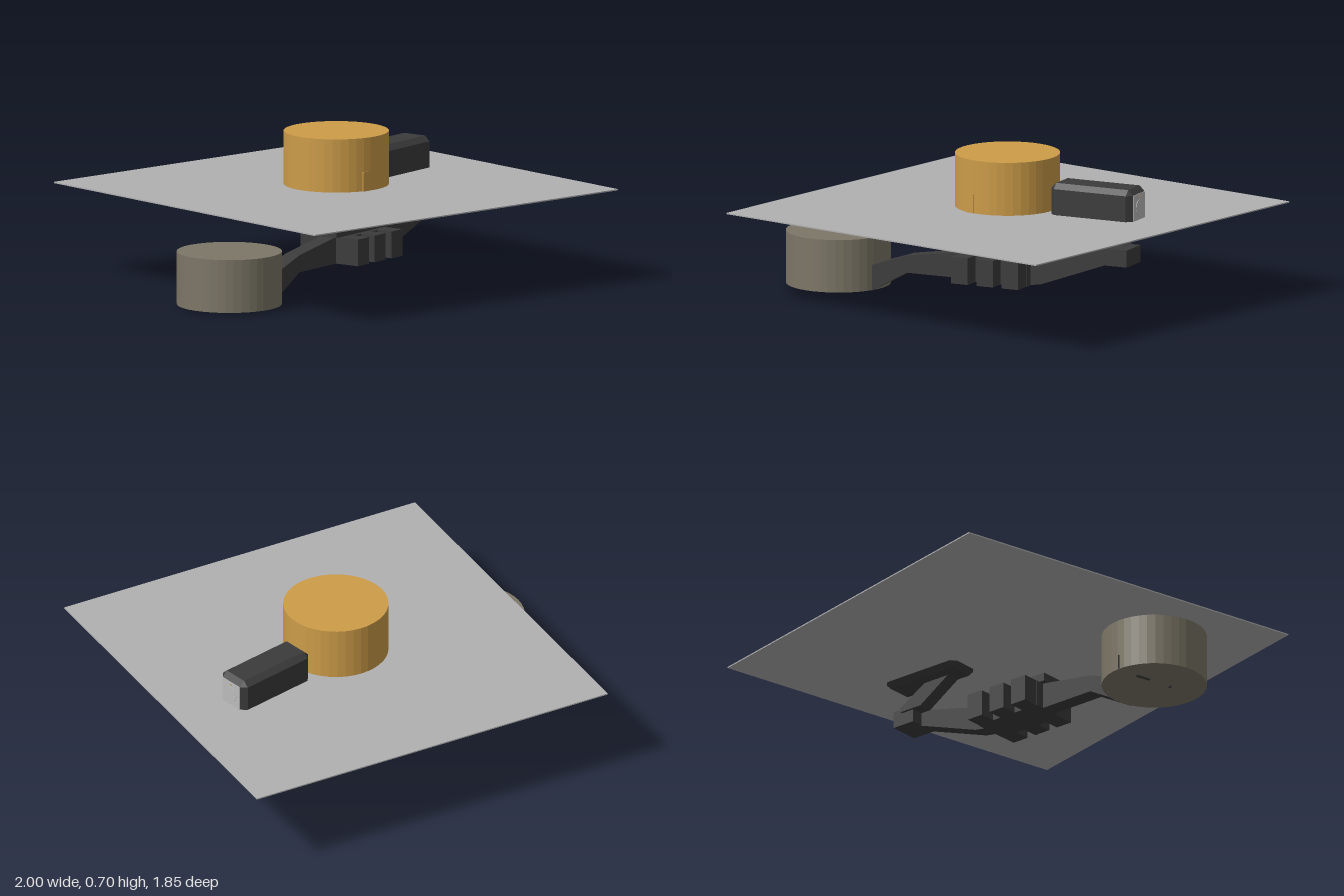
import * as THREE from 'three';
import { ConvexGeometry } from 'three/addons/geometries/ConvexGeometry.js';

export function createModel() {
  const root = new THREE.Group();
  root.name = 'platformWithArm';

  const mat = (name, color) => {
    const m = new THREE.MeshStandardMaterial({ color });
    m.name = name;
    return m;
  };
  const grey = mat('plateGrey', 0xb0b0b0);
  const gold = mat('gold', 0xcc9c48);
  const olive = mat('olive', 0x7c7666);
  const dark = mat('charcoal', 0x3b3b3b);
  const pale = mat('paleGrey', 0xbcbcbc);

  const add = (parent, name, geo, material, x = 0, y = 0, z = 0) => {
    const m = new THREE.Mesh(geo, material);
    m.name = name;
    m.position.set(x, y, z);
    parent.add(m);
    return m;
  };
  // Box given by its lower and upper limits
  const box = (parent, name, material, x0, x1, y0, y1, z0, z1) =>
    add(parent, name, new THREE.BoxGeometry(x1 - x0, y1 - y0, z1 - z0), material,
      (x0 + x1) / 2, (y0 + y1) / 2, (z0 + z1) / 2);
  // Faceted drum standing on y0
  const drum = (parent, name, material, r, y0, y1, x, z) => {
    const g = new THREE.CylinderGeometry(r, r, y1 - y0, 40).toNonIndexed();
    g.computeVertexNormals();
    return add(parent, name, g, material, x, (y0 + y1) / 2, z);
  };
  // Side profile in x and y, given a width around z
  const bar = (parent, name, pts, width, z = 0) => {
    const shape = new THREE.Shape(pts.map(p => new THREE.Vector2(p[0], p[1])));
    const g = new THREE.ExtrudeGeometry(shape, { depth: width, bevelEnabled: false });
    return add(parent, name, g, dark, 0, 0, z - width / 2);
  };
  // Box with every edge chamfered
  const chamferBox = (w, h, d, c) => {
    const pts = [];
    for (const i of [-1, 1]) for (const j of [-1, 1]) for (const k of [-1, 1]) {
      const a = w / 2, b = h / 2, e = d / 2;
      pts.push(new THREE.Vector3(i * a, j * (b - c), k * (e - c)),
        new THREE.Vector3(i * (a - c), j * b, k * (e - c)),
        new THREE.Vector3(i * (a - c), j * (b - c), k * e));
    }
    return new ConvexGeometry(pts);
  };

  // Thin square plate
  box(root, 'plate', grey, -0.845, 1, 0.432, 0.438, -0.925, 0.92);

  // Upper drum with a small front tab
  drum(root, 'upperDrum', gold, 0.243, 0.448, 0.697, 0.077, 0);
  box(root, 'upperDrumTab', gold, 0.03, 0.073, 0.448, 0.538, 0.2, 0.245);

  // Lower drum with a rear slot and small studs underneath
  drum(root, 'lowerDrum', olive, 0.243, 0.01, 0.257, -0.757, 0.212);
  box(root, 'lowerDrumSlot', dark, -0.806, -0.8, 0.012, 0.08, -0.031, -0.01);
  box(root, 'lowerDrumStud', dark, -0.805, -0.793, 0.004, 0.012, 0.075, 0.155);
  box(root, 'lowerDrumStud', dark, -0.805, -0.793, 0, 0.012, 0.264, 0.276);

  // Arm, turned about its hub
  const turn = 0.227;
  const arm = new THREE.Group();
  arm.name = 'arm';
  arm.position.set(0.1, 0, 0.08);
  arm.rotation.y = turn;
  root.add(arm);
  box(arm, 'hubCore', dark, -0.175, 0.175, 0.11, 0.235, -0.085, 0.085);
  box(arm, 'hubCap', dark, -0.2, 0.2, 0.235, 0.275, -0.062, 0.062);
  for (const side of [-1, 1]) for (const x of [-0.13, 0, 0.13]) {
    add(arm, 'hubRib', new THREE.BoxGeometry(0.085, 0.125, 0.085), dark, x, 0.1725, side * 0.122);
  }
  bar(arm, 'lowerArm', [[-0.64, 0.01], [-0.46, 0.11], [-0.17, 0.11],
    [-0.17, 0.235], [-0.46, 0.19], [-0.64, 0.13]], 0.08);
  bar(arm, 'upperArm', [[0.17, 0.11], [0.23, 0.12], [0.56, 0.24],
    [0.56, 0.318], [0.23, 0.235], [0.17, 0.235]], 0.08);
  box(arm, 'elbowBlock', dark, 0.555, 0.672, 0.24, 0.32, -0.1, 0.047);
  bar(arm, 'riser', [[0.5, 0.3], [0.62, 0.3], [0.62, 0.32], [0.46, 0.415], [0.32, 0.415]], 0.07, -0.078);

  // Chamfered head with a pale end face
  const head = new THREE.Group();
  head.name = 'head';
  head.position.set(0.515, 0.495, -0.1225);
  head.rotation.y = turn;
  root.add(head);
  add(head, 'headBody', chamferBox(0.42, 0.18, 0.17, 0.025), dark);
  add(head, 'endFace', new THREE.BoxGeometry(0.004, 0.13, 0.12), pale, 0.211, 0, 0);
  add(head, 'lens', new THREE.CylinderGeometry(0.037, 0.037, 0.004, 32).rotateZ(-Math.PI / 2), pale, 0.213, 0, 0);
  add(head, 'indicator', new THREE.CylinderGeometry(0.004, 0.004, 0.004, 12).rotateZ(-Math.PI / 2), gold, 0.213, 0.053, 0);

  return root;
}
